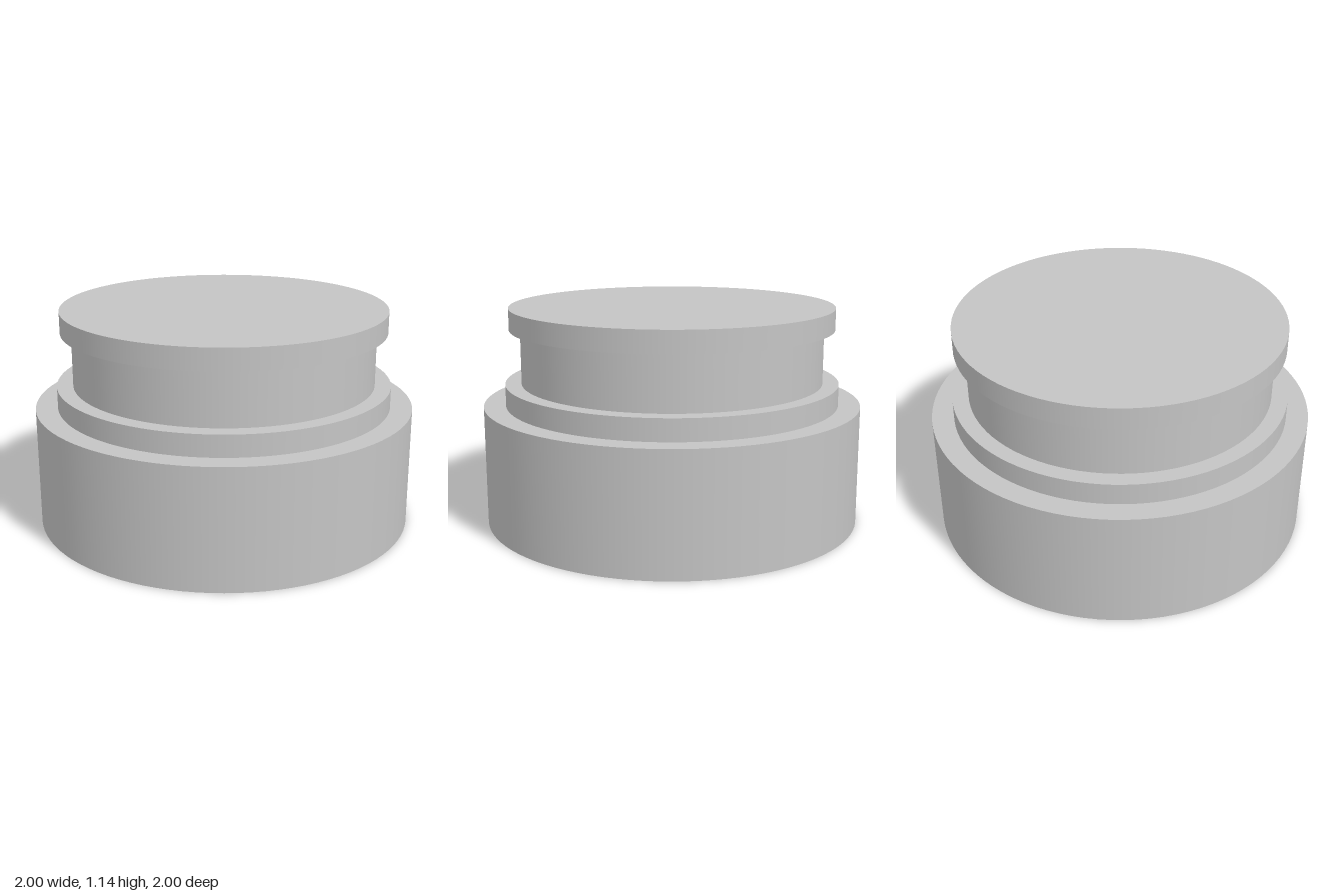
import * as THREE from 'three';

export function createModel() {
  const group = new THREE.Group();
  group.name = 'steppedRoundKnob';

  const grey = new THREE.MeshStandardMaterial({ color: 0xc4c4c4 });
  grey.name = 'light grey';

  // Upright disc from y = bottom to y = top
  function addDisc(name, radius, bottom, top) {
    const geometry = new THREE.CylinderGeometry(radius, radius, top - bottom, 96);
    const mesh = new THREE.Mesh(geometry, grey);
    mesh.name = name;
    mesh.position.y = (bottom + top) / 2;
    group.add(mesh);
  }

  addDisc('base', 1, 0, 0.63);
  addDisc('collar', 0.885, 0.63, 0.743);
  addDisc('neck', 0.8, 0.743, 1.03);
  addDisc('cap', 0.857, 1.03, 1.143);

  return group;
}
